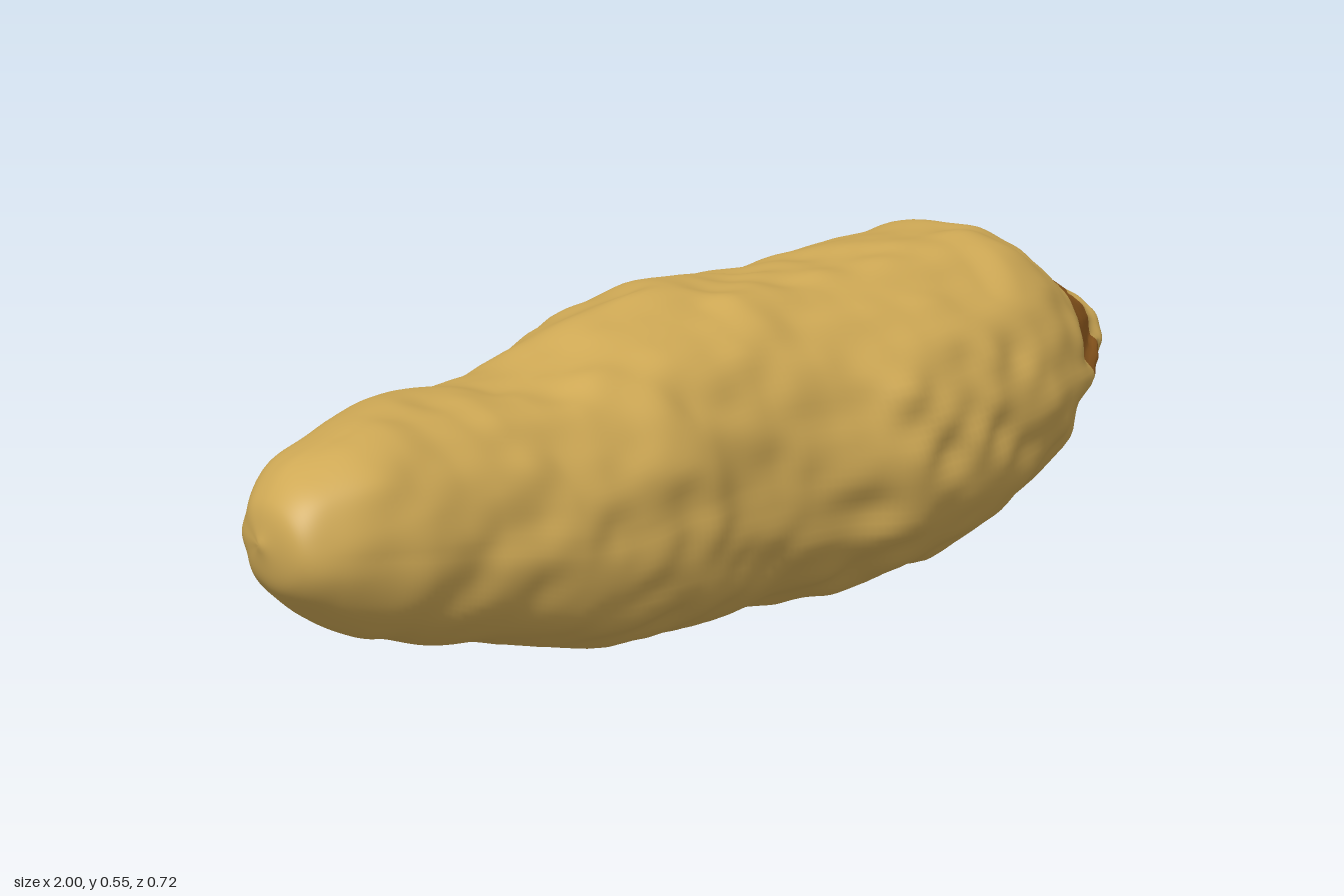
import * as THREE from 'three';

// Cross-sections along the length: x, bottom y, top y, back z, front z
const SECTIONS = [
  [-1, 0.4, 0.41, 0.24, 0.25],
  [-0.98, 0.335, 0.465, 0.175, 0.315],
  [-0.92, 0.28, 0.505, 0.12, 0.345],
  [-0.82, 0.232, 0.522, 0.07, 0.354],
  [-0.7, 0.187, 0.52, 0.0, 0.332],
  [-0.6, 0.158, 0.507, -0.05, 0.324],
  [-0.5, 0.125, 0.49, -0.08, 0.312],
  [-0.4, 0.09, 0.496, -0.125, 0.3],
  [-0.25, 0.067, 0.523, -0.175, 0.272],
  [-0.1, 0.038, 0.535, -0.22, 0.235],
  [0.05, 0.025, 0.525, -0.255, 0.22],
  [0.2, 0.008, 0.508, -0.29, 0.232],
  [0.35, 0.006, 0.508, -0.33, 0.212],
  [0.5, 0.015, 0.508, -0.357, 0.175],
  [0.6, 0.032, 0.5, -0.357, 0.137],
  [0.69, 0.054, 0.458, -0.345, 0.085],
  [0.75, 0.07, 0.417, -0.33, 0.033],
  [0.84, 0.113, 0.365, -0.302, -0.045],
  [0.932, 0.153, 0.318, -0.282, -0.123],
  [0.978, 0.175, 0.292, -0.264, -0.138],
  [1, 0.23, 0.24, -0.205, -0.195],
];
const LAST = SECTIONS.length - 1;
const BAND_START = 16, TIP_START = 18;
const SIDES = 112;

const smoothCurve = (pick) =>
  new THREE.CatmullRomCurve3(SECTIONS.map((s) => new THREE.Vector3(...pick(s))), false, 'catmullrom', 0.5);
const centres = smoothCurve(([x, b, t, k, f]) => [x, (b + t) / 2, (k + f) / 2]);
const radii = smoothCurve(([x, b, t, k, f]) => [x, (t - b) / 2, (f - k) / 2]);

// Smooth seeded value noise in the range -1 to 1
function hash(x, y, z) {
  let h = Math.imul(x, 374761393) ^ Math.imul(y, 668265263) ^ Math.imul(z, 1274126177);
  h = Math.imul(h ^ (h >>> 13), 1103515245);
  return (((h ^ (h >>> 16)) >>> 0) / 4294967295) * 2 - 1;
}
function noise(x, y, z) {
  const base = [x, y, z].map(Math.floor);
  const w = [x, y, z].map((v, i) => {
    const f = v - base[i];
    return f * f * (3 - 2 * f);
  });
  let sum = 0;
  for (let c = 0; c < 8; c++) {
    const d = [c & 1, (c >> 1) & 1, (c >> 2) & 1];
    const weight = d.reduce((p, bit, i) => p * (bit ? w[i] : 1 - w[i]), 1);
    sum += weight * hash(base[0] + d[0], base[1] + d[1], base[2] + d[2]);
  }
  return sum;
}

// Point on the lumpy skin at section position s and angle a (0 = front, up = positive)
function skin(s, a) {
  const c = centres.getPoint(s / LAST);
  const r = radii.getPoint(s / LAST);
  const dy = Math.max(r.y, 0) * Math.sin(a);
  const dz = Math.max(r.z, 0) * Math.cos(a);
  const [x, y, z] = [c.x, c.y + dy, c.z + dz];
  const onBody = 1 - THREE.MathUtils.smoothstep(s, 14.5, 16.5);
  // batter lumps and fine wrinkles, rougher on the front
  const rough = 0.75 + 0.25 * Math.cos(a);
  const lumps = 0.024 * noise(x * 8 + 20, y * 11, z * 11) + 0.046 * rough * noise(x * 14, y * 19 + 7, z * 19);
  // long grooves down the back, with fuller shoulders above and below
  const back = Math.max(0, -Math.cos(a));
  const grooves = back * (0.1 * Math.sin(a) ** 2 - 0.04 * (1 + Math.cos(a * 7)));
  // the thin half is fuller at its lower front and upper back
  const thinHalf = THREE.MathUtils.smoothstep(s, 1, 4) * (1 - 0.8 * THREE.MathUtils.smoothstep(s, 8, 12));
  const fullness = thinHalf * Math.max(0, -Math.sin(2 * a)) * (Math.cos(a) > 0 ? 0.09 : 0.06);
  // soft facets around the tapered end
  const facets = 0.022 * Math.cos(a * 9) + 0.035 * noise(x * 12, y * 16, z * 16);
  const k = 1 + onBody * (lumps + grooves + fullness) + (1 - onBody) * facets;
  // tilt the sections near the tapered end square to the axis, with a ragged edge
  const tilt = THREE.MathUtils.smoothstep(s, 13, 16) * (1 - THREE.MathUtils.smoothstep(s, 17.5, 19));
  const ragged = 0.02 * noise(Math.cos(a) * 5, Math.sin(a) * 5, 1.5);
  const lean = tilt * (0.14 * dz + 0.08 * dy + ragged);
  return [x + lean, c.y + dy * k, c.z + dz * k];
}

// Lofted closed rings between two section positions
function loft(name, from, to, rings, material) {
  const positions = [], index = [];
  for (let i = 0; i <= rings; i++) {
    const s = from + ((to - from) * i) / rings;
    for (let j = 0; j < SIDES; j++) positions.push(...skin(s, (j / SIDES) * Math.PI * 2));
  }
  for (let i = 0; i < rings; i++) {
    for (let j = 0; j < SIDES; j++) {
      const a = i * SIDES + j, b = i * SIDES + ((j + 1) % SIDES);
      index.push(a, a + SIDES, b, b, a + SIDES, b + SIDES);
    }
  }
  // close the rounded ends
  const cap = (ring, s, facesRight) => {
    const p = centres.getPoint(s / LAST);
    const mid = positions.push(p.x, p.y, p.z) / 3 - 1;
    for (let j = 0; j < SIDES; j++) {
      const a = ring * SIDES + j, b = ring * SIDES + ((j + 1) % SIDES);
      index.push(mid, ...(facesRight ? [b, a] : [a, b]));
    }
  };
  if (from === 0) cap(0, from, false);
  if (to === LAST) cap(rings, to, true);
  const geometry = new THREE.BufferGeometry();
  geometry.setAttribute('position', new THREE.Float32BufferAttribute(positions, 3));
  geometry.setIndex(index);
  geometry.computeVertexNormals();
  const mesh = new THREE.Mesh(geometry, material);
  mesh.name = name;
  return mesh;
}

export function createModel() {
  const batter = new THREE.MeshStandardMaterial({ color: 0xcfa955 });
  batter.name = 'golden batter';
  const brown = new THREE.MeshStandardMaterial({ color: 0x935c1f });
  brown.name = 'toasted brown';

  const model = new THREE.Group();
  model.name = 'batteredStick';
  model.add(
    loft('lumpyBody', 0, BAND_START, 180, batter),
    loft('taperedBand', BAND_START, TIP_START, 24, brown),
    loft('roundedTip', TIP_START, LAST, 20, batter),
  );
  return model;
}
